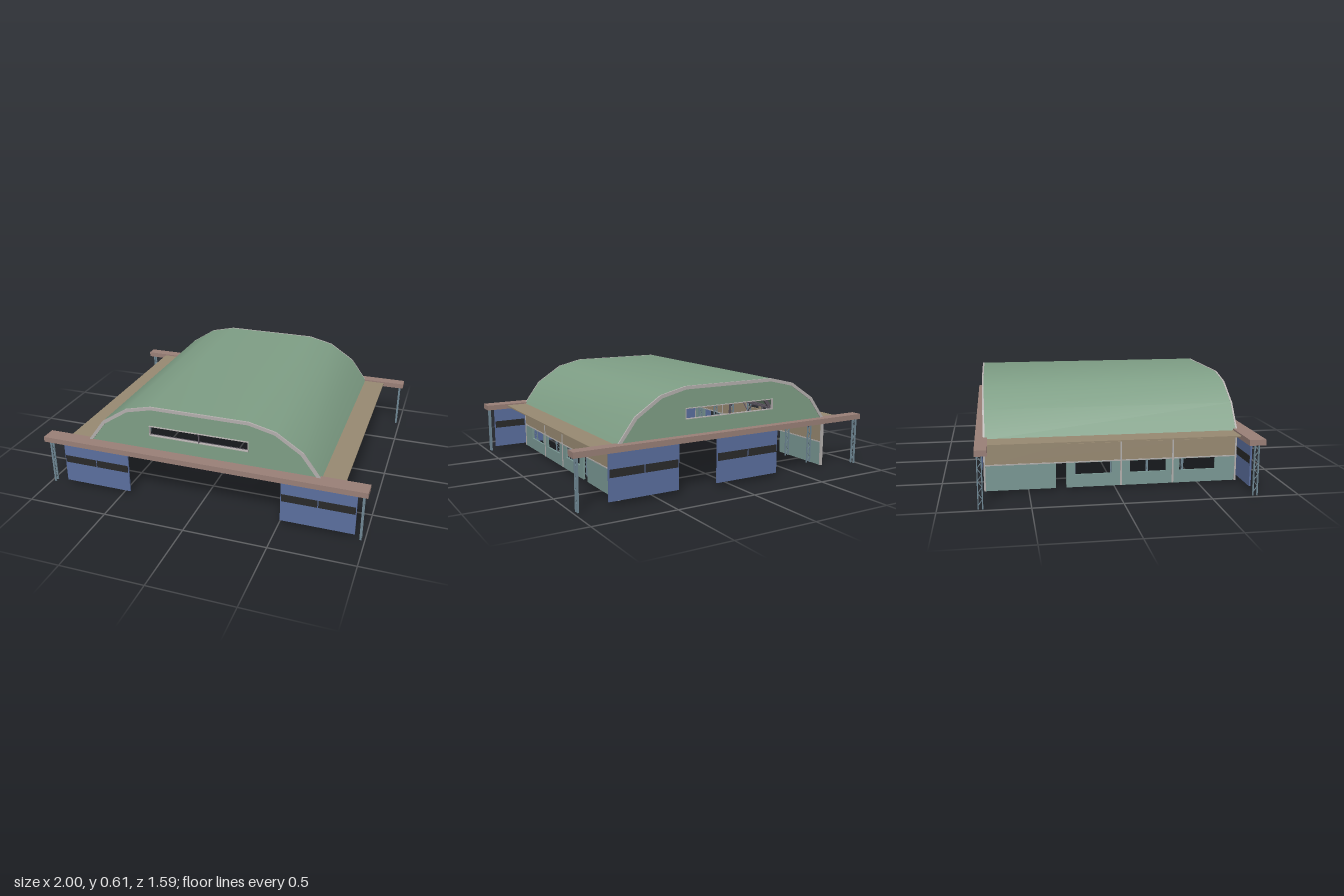
import * as THREE from 'three';
import { toCreasedNormals } from 'three/addons/utils/BufferGeometryUtils.js';

const mat = (color) => new THREE.MeshStandardMaterial({ color, side: THREE.DoubleSide });

export function createModel() {
  const root = new THREE.Group();
  const M = {
    green: mat(0x7f9f86), brown: mat(0x9a8078), tan: mat(0x988a72), teal: mat(0x7a9894),
    trim: mat(0xb4b0ae), blue: mat(0x5b6f9f), glass: mat(0x2a2a2a), rib: mat(0x5c5560), steel: mat(0x6f8794),
  };
  const add = (name, geo, m, parent = root) => {
    const mesh = new THREE.Mesh(geo, m);
    mesh.name = name;
    parent.add(mesh);
    return mesh;
  };
  const group = (name) => {
    const g = new THREE.Group();
    g.name = name;
    root.add(g);
    return g;
  };
  // Box given by its extents
  const box = (name, m, x0, x1, y0, y1, z0, z1, parent) =>
    add(name, new THREE.BoxGeometry(x1 - x0, y1 - y0, z1 - z0)
      .translate((x0 + x1) / 2, (y0 + y1) / 2, (z0 + z1) / 2), m, parent);
  // Square bar between two points
  const bar = (name, m, a, b, w, parent) => {
    const p = new THREE.Vector3(...a), q = new THREE.Vector3(...b);
    const mesh = add(name, new THREE.BoxGeometry(w, w, p.distanceTo(q)), m, parent);
    mesh.position.copy(p).add(q).multiplyScalar(0.5);
    mesh.lookAt(q);
  };
  const rectHole = (x0, x1, y0, y1) => new THREE.Path(
    [[x0, y0], [x0, y1], [x1, y1], [x1, y0]].map((p) => new THREE.Vector2(...p)));
  const extrude = (pts, depth, holes = []) => {
    const s = new THREE.Shape(pts.map((p) => new THREE.Vector2(...p)));
    s.holes.push(...holes);
    return new THREE.ExtrudeGeometry(s, { depth, bevelEnabled: false });
  };

  // Arch profile, one half mirrored; inset shrinks it towards the inside
  const half = [[0.73, 0.315], [0.62, 0.463], [0.46, 0.567], [0.3, 0.605]];
  const arch = (inset) => {
    const r = half.map(([x, y], i) => [x - inset * [1.2, 0.8, 0.4, 0.15][i], y - inset * [0, 0.7, 0.95, 1][i]]);
    return [...r, ...r.map(([x, y]) => [-x, y]).reverse()];
  };
  const archBand = (from, to, depth) => extrude([...arch(from), ...arch(to).reverse()], depth);

  // Curved roof, end trims and gables
  add('roofShell', toCreasedNormals(archBand(0, 0.01, 1.465).translate(0, 0, -0.745), 0.55), M.green);
  for (const [side, z] of [['front', 0.715], ['back', -0.75]]) {
    const out = Math.sign(z);
    add(side + 'RoofTrim', archBand(-0.001, 0.018, 0.01).translate(0, 0, z), M.trim);
    const gable = [[0.71, 0.3], ...arch(0.012), [-0.71, 0.3]];
    add(side + 'Gable', extrude(gable, 0.008, [rectHole(-0.31, 0.3, 0.42, 0.48)]).translate(0, 0, z - out * 0.004), M.green);
    const zw = z + 0.004;
    const frame = group(side + 'GableWindow');
    box('mullion', M.rib, -0.004, 0.002, 0.42, 0.48, zw - 0.006, zw + 0.006, frame);
    for (const y of [0.42, 0.48]) box('frameRail', M.trim, -0.312, 0.302, y - 0.002, y + 0.002, zw - 0.008, zw + 0.008, frame);
    for (const x of [-0.31, 0.3]) box('frameStile', M.trim, x - 0.002, x + 0.002, 0.42, 0.48, zw - 0.008, zw + 0.008, frame);
    // Gable bracing on the inside
    const brace = group(side + 'GableBracing'), zi = z - out * 0.02;
    for (const s of [-1, 1]) {
      bar('stud', M.rib, [s * 0.34, 0.3, zi], [s * 0.34, 0.59, zi], 0.01, brace);
      bar('stud', M.rib, [s * 0.56, 0.3, zi], [s * 0.56, 0.49, zi], 0.01, brace);
      bar('diagonal', M.rib, [s * 0.34, 0.3, zi], [s * 0.56, 0.49, zi], 0.008, brace);
    }
    for (const y of [0.305, 0.41]) bar('rail', M.rib, [-0.64, y, zi], [0.64, y, zi], 0.01, brace);
  }

  // Roof ribs and purlins
  const frames = group('roofFrame');
  for (const z of [0.62, 0.19, -0.235, -0.66])
    add('rib', archBand(0.012, 0.035, 0.014).translate(0, 0, z - 0.007), M.rib, frames);
  for (const [x, y] of [...arch(0.02), [0, 0.585]])
    box('purlin', M.rib, x - 0.007, x + 0.007, y - 0.009, y + 0.005, -0.735, 0.71, frames);

  // Fascia door rails and lattice posts
  box('frontFascia', M.brown, -1, 1, 0.295, 0.328, 0.7, 0.795);
  box('backFascia', M.brown, -1, 1, 0.295, 0.328, -0.795, -0.727);
  for (const z of [0.752, -0.77]) for (const x of [-0.975, 0.975]) {
    const post = group('latticePost');
    for (const d of [-0.012, 0.012])
      box('leg', M.steel, x - 0.006, x + 0.006, 0, 0.296, z + d - 0.003, z + d + 0.003, post);
    for (let i = 0; i < 8; i++) {
      const s = i % 2 ? 0.012 : -0.012;
      bar('lacing', M.steel, [x, 0.02 + i * 0.034, z + s], [x, 0.054 + i * 0.034, z - s], 0.004, post);
    }
  }

  // Sliding doors with a dark window strip
  for (const [x, z] of [[-0.885, 0.755], [0.505, 0.755], [-0.335, -0.77], [0.358, -0.77]]) {
    const door = group('slidingDoor');
    box('panel', M.blue, x, x + 0.436, 0.025, 0.297, z - 0.005, z + 0.005, door);
    for (const x0 of [x + 0.005, x + 0.221])
      box('windowStrip', M.glass, x0, x0 + 0.21, 0.157, 0.203, z - 0.007, z + 0.007, door);
  }

  // Side walls, canopies and wall columns
  const upper = [[0.4, 0.55], [0.18, 0.33], [-0.1, 0.03], [-0.28, -0.12]];
  const lower = [[0.38, 0.595], [0.085, 0.3], [-0.235, -0.02]];
  for (const s of [-1, 1]) {
    const side = s > 0 ? 'left' : 'right';
    const wall = (pts, holes) => extrude(pts, 0.012, holes).rotateY(-Math.PI / 2).translate(s * 0.72 + 0.006, 0, 0);
    add(side + 'UpperWall', wall([[-0.745, 0.165], [0.72, 0.165], [0.72, 0.312], [-0.745, 0.312]],
      upper.map(([a, b]) => rectHole(a, b, 0.274, 0.308))), M.tan);
    add(side + 'LowerWall', wall([[-0.285, 0.015], [0.72, 0.015], [0.72, 0.165], [-0.285, 0.165]],
      lower.map(([a, b]) => rectHole(a, b, 0.09, 0.16))), M.teal);
    add(side + 'RearLowerWall', wall([[-0.745, 0.015], [-0.345, 0.015], [-0.345, 0.165], [-0.745, 0.165]]), M.teal);

    const trims = group(side + 'WallTrim'), x = s * 0.72;
    box('beltTrim', M.trim, x - 0.009, x + 0.009, 0.162, 0.169, -0.745, 0.72, trims);
    for (const z of [0.72, 0.34, 0.033, -0.747])
      box('uprightTrim', M.trim, x - 0.009, x + 0.009, 0.015, 0.312, z - 0.005, z + 0.005, trims);
    box(side + 'Canopy', M.tan, Math.min(s * 0.7, s * 0.862), Math.max(s * 0.7, s * 0.862), 0.311, 0.319, -0.73, 0.702);

    const cols = group(side + 'WallColumns'), xa = s * 0.705, xb = s * 0.68;
    for (let k = 0; k < 7; k++) {
      const z = 0.618 - k * 0.213;
      for (const xl of [xa, xb]) bar('leg', M.steel, [xl, 0.015, z], [xl, 0.312, z], 0.007, cols);
      for (let i = 0; i < 8; i++) {
        const [p, q] = i % 2 ? [xa, xb] : [xb, xa];
        bar('lacing', M.steel, [p, 0.02 + i * 0.035, z], [q, 0.055 + i * 0.035, z], 0.004, cols);
      }
      for (const d of [-0.06, 0.06]) bar('kneeBrace', M.rib, [xb, 0.25, z], [xb, 0.312, z + d], 0.006, cols);
    }
    bar('eavesRail', M.rib, [xb, 0.312, -0.735], [xb, 0.312, 0.71], 0.01, cols);
  }
  return root;
}
